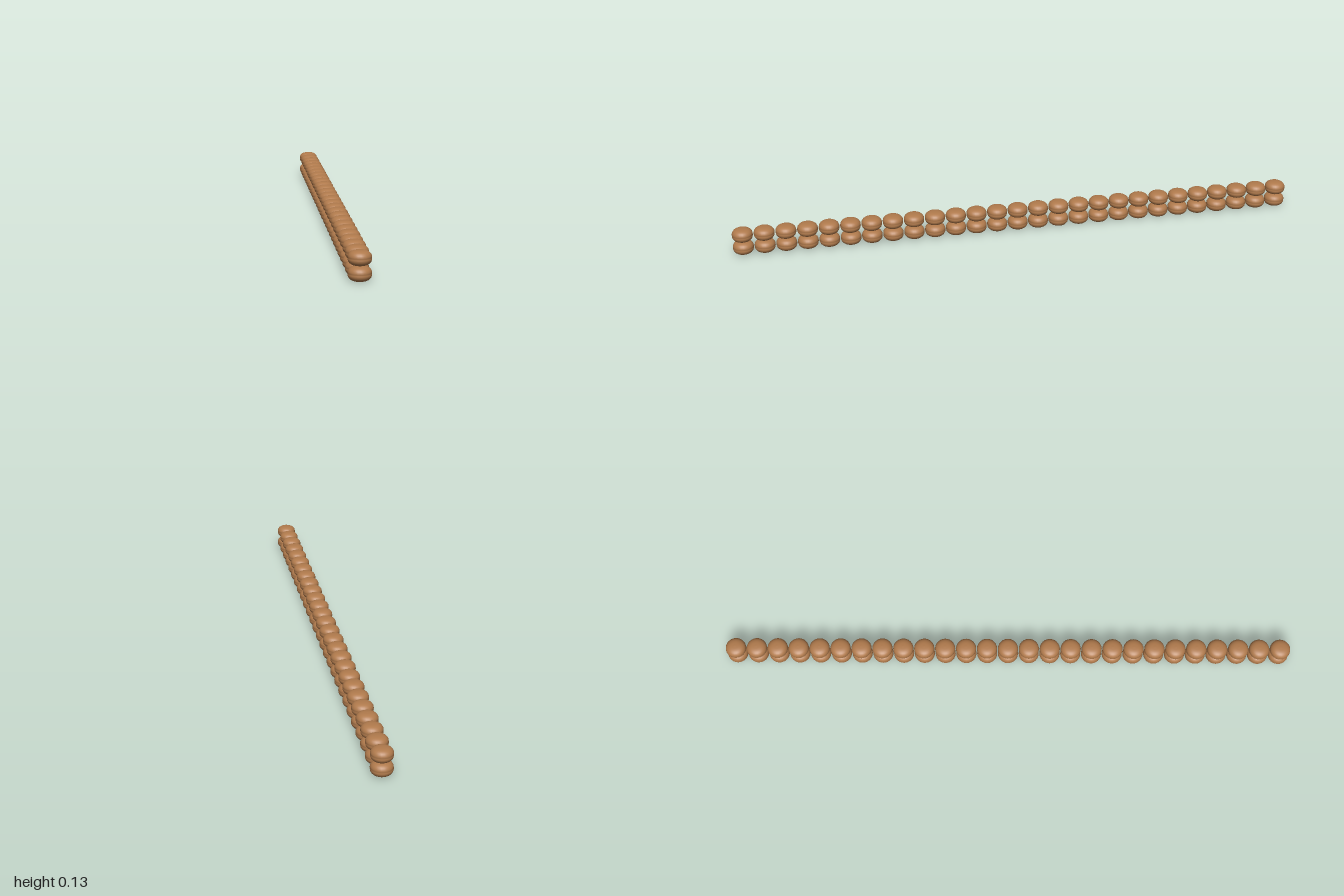
import * as THREE from 'three';

const COUNT = 27, RADIUS = 0.05, HALF = 0.0325, REACH = 0.95;

// Rounded, flattened bead profile with a fine seam round its middle
function beadGeometry() {
  const steps = 8, points = [];
  const arc = (from, to) => {
    for (let i = 0; i <= steps; i++) {
      const a = THREE.MathUtils.lerp(from, to, i / steps);
      const c = Math.max(0, Math.cos(a)), s = Math.sin(a);
      points.push(new THREE.Vector2(
        RADIUS * Math.pow(c, 0.75),
        HALF * Math.sign(s) * Math.pow(Math.abs(s), 0.85)));
    }
  };
  arc(-Math.PI / 2, -0.06);
  points.push(new THREE.Vector2(RADIUS * 0.95, 0));
  arc(0.06, Math.PI / 2);
  return new THREE.LatheGeometry(points, 24);
}

export function createModel() {
  const group = new THREE.Group();
  group.name = 'beadFence';
  const geometry = beadGeometry();
  const material = new THREE.MeshStandardMaterial({ color: 0xb07a4c });

  // Two stacked rows running along the diagonal
  ['lowerRow', 'upperRow'].forEach((name, level) => {
    const row = new THREE.Group();
    row.name = name;
    for (let i = 0; i < COUNT; i++) {
      const d = THREE.MathUtils.lerp(-REACH, REACH, i / (COUNT - 1));
      const bead = new THREE.Mesh(geometry, material);
      bead.name = 'bead';
      bead.position.set(d, HALF * (1 + 2 * level), d);
      row.add(bead);
    }
    group.add(row);
  });
  return group;
}
